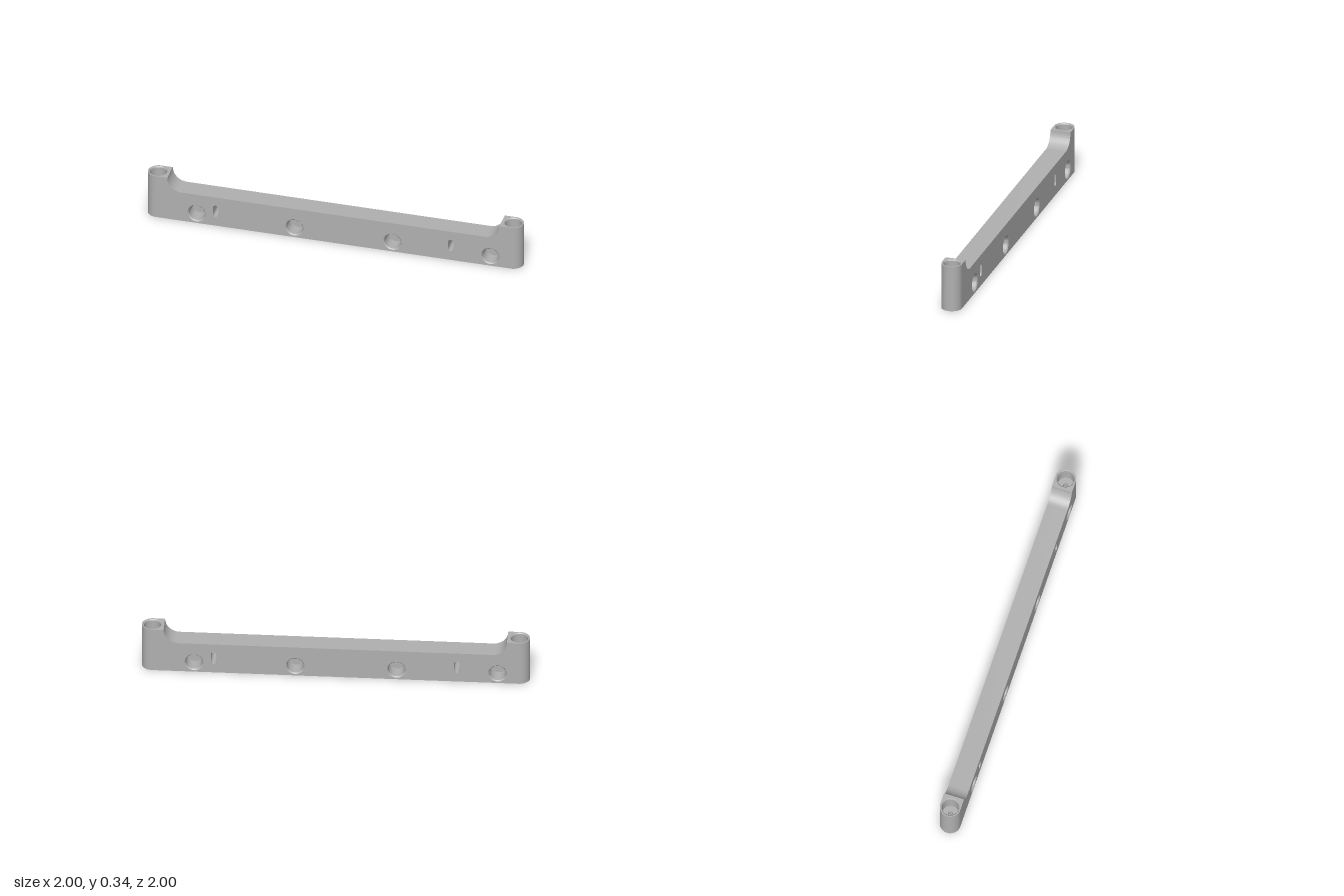
import * as THREE from 'three';
import { toCreasedNormals } from 'three/addons/utils/BufferGeometryUtils.js';

const R = 0.075, END = 1.308;          // half width, distance to the bore axes
const TOP = 0.342, MID = 0.236;        // post and beam heights
const POST = 1.223, FILLET = TOP - MID;
const HOLES = [-1.007, -0.286, 0.436, 1.157], HOLE_Y = 0.08, HOLE_R = 0.067;
const SLOTS = [-0.866, 0.866], SLOT_Y = 0.12, SLOT_R = 0.021, SLOT_H = 0.027;
const BORE_R = 0.066;

const grey = new THREE.MeshStandardMaterial({ color: 0xb0b0b0, side: THREE.DoubleSide });
grey.name = 'grey';

function add(parent, name, geometry) {
  const mesh = new THREE.Mesh(geometry, grey);
  mesh.name = name;
  parent.add(mesh);
  return mesh;
}

// Points on an arc from angle a to angle b
function arc(cx, cy, r, a, b, n = 24) {
  return Array.from({ length: n + 1 }, (_, i) => {
    const t = a + (b - a) * i / n;
    return new THREE.Vector2(cx + r * Math.cos(t), cy + r * Math.sin(t));
  });
}

// Wall that sweeps a 2D path along z
function ribbon(path, z0, z1) {
  const pos = [];
  for (let i = 0; i + 1 < path.length; i++) {
    const a = path[i], b = path[i + 1];
    pos.push(a.x, a.y, z0, b.x, b.y, z0, b.x, b.y, z1);
    pos.push(a.x, a.y, z0, b.x, b.y, z1, a.x, a.y, z1);
  }
  const g = new THREE.BufferGeometry();
  g.setAttribute('position', new THREE.Float32BufferAttribute(pos, 3));
  return toCreasedNormals(g, 0.5);
}

function plate(outline, holes) {
  const shape = new THREE.Shape(outline);
  shape.holes = holes.map(h => new THREE.Path(h));
  return new THREE.ShapeGeometry(shape);
}

function turned(points) {
  return toCreasedNormals(
    new THREE.LatheGeometry(points.map(p => new THREE.Vector2(...p)), 48), 0.5);
}

const circle = (x, y, r) => arc(x, y, r, 0, -2 * Math.PI, 48);

function slotPath(x, r = SLOT_R) {
  const p = [...arc(x, SLOT_Y + SLOT_H, r, Math.PI, 0, 12),
    ...arc(x, SLOT_Y - SLOT_H, r, 0, -Math.PI, 12)];
  return [...p, p[0].clone()];
}

export function createModel() {
  const model = new THREE.Group();
  model.name = 'mountingBar';
  const bar = new THREE.Group();
  bar.name = 'bar';
  bar.rotation.y = -Math.PI / 4;
  model.add(bar);
  const H = Math.PI / 2;

  // Upper edge with a concave fillet at each post
  const upper = [
    ...arc(POST - FILLET, TOP, FILLET, 0, -H),
    ...arc(FILLET - POST, TOP, FILLET, -H, -Math.PI)];
  add(bar, 'beamTop', ribbon(upper, -R, R));

  const outline = [
    new THREE.Vector2(-END, 0), new THREE.Vector2(END, 0), new THREE.Vector2(END, TOP),
    ...upper, new THREE.Vector2(-END, TOP)];

  // Each half is repeated by a half turn
  for (const turn of [0, Math.PI]) {
    const half = new THREE.Group();
    half.name = turn ? 'backHalf' : 'frontHalf';
    half.rotation.y = turn;
    bar.add(half);

    // Pierced side face
    const cuts = [...HOLES.map(x => circle(x, HOLE_Y, HOLE_R)), ...SLOTS.map(x => slotPath(x))];
    add(half, 'sideFace', plate(outline, cuts).translate(0, 0, R));

    // Blind round sockets with a chamfered mouth
    for (const x of HOLES) {
      const socket = turned([[HOLE_R, 0], [0.06, -0.008], [0.06, -0.11], [0, -0.11]]);
      add(half, 'sideSocket', socket.rotateX(H).translate(x, HOLE_Y, R));
    }

    // Rounded post end and its cap
    const round = arc(END, 0, R, -H, H, 32);
    add(half, 'postEnd', ribbon(round, 0, TOP).rotateX(-H));
    const cap = [new THREE.Vector2(POST, -R), ...round, new THREE.Vector2(POST, R)];
    add(half, 'postTop', plate(cap, [circle(END, 0, BORE_R)]).rotateX(-H).translate(0, TOP, 0));

    // Stepped bore through the post
    const bore = turned([[BORE_R, TOP], [0.06, TOP - 0.008], [0.06, 0.2], [0.018, 0.2],
      [0.018, 0.15], [0.06, 0.15], [0.06, 0.008], [BORE_R, 0]]);
    add(half, 'postBore', bore.translate(END, 0, 0));
  }

  // Slots pass right through
  for (const x of SLOTS) add(bar, 'slotWall', ribbon(slotPath(x), -R, R));

  // Underside
  const under = [...arc(END, 0, R, -H, H, 32), ...arc(-END, 0, R, H, 3 * H, 32)];
  add(bar, 'underside',
    plate(under, [circle(END, 0, BORE_R), circle(-END, 0, BORE_R)]).rotateX(H));

  return model;
}
